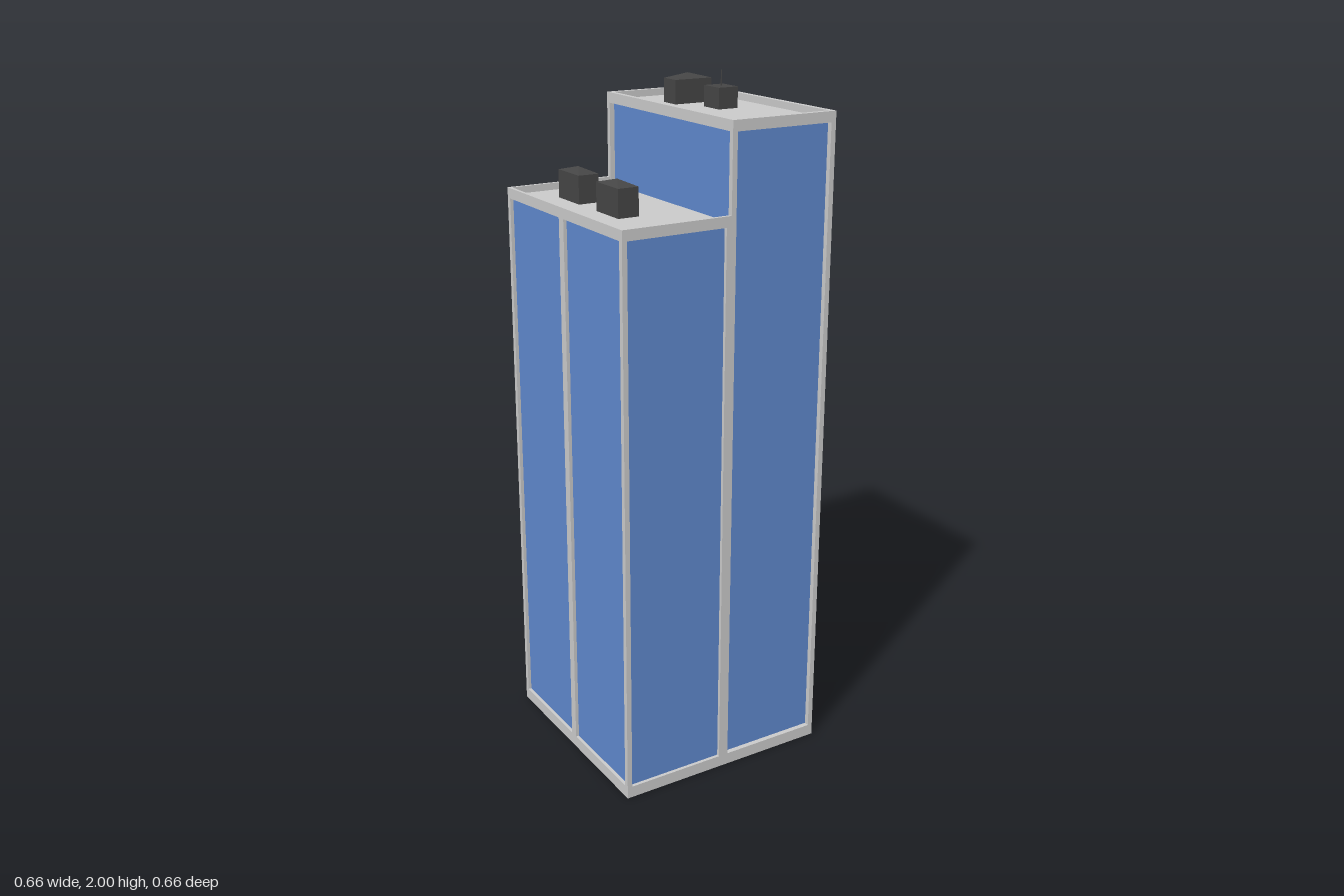
import * as THREE from 'three';

const material = (name, color) => {
  const m = new THREE.MeshStandardMaterial({ color });
  m.name = name;
  return m;
};

export function createModel() {
  const concrete = material('concrete', 0xcacaca);
  const glass = material('blue glass', 0x5f88cd);
  const dark = material('dark metal', 0x454545);
  const model = new THREE.Group();
  model.name = 'steppedTower';
  const HALF = 0.33;

  const add = (parent, name, geometry, mat) => {
    const mesh = new THREE.Mesh(geometry, mat);
    mesh.name = name;
    parent.add(mesh);
    return mesh;
  };

  // Box given by its minimum and maximum corners
  const box = (parent, name, mat, [x0, y0, z0], [x1, y1, z1]) =>
    add(parent, name, new THREE.BoxGeometry(x1 - x0, y1 - y0, z1 - z0)
      .translate((x0 + x1) / 2, (y0 + y1) / 2, (z0 + z1) / 2), mat);

  const rect = (path, x0, y0, x1, y1) =>
    path.moveTo(x0, y0).lineTo(x1, y0).lineTo(x1, y1).lineTo(x0, y1).closePath();

  // Wall frame with openings, its outer face on z = 0
  const frameGeometry = (x0, y0, x1, y1, holes, depth) => {
    const shape = rect(new THREE.Shape(), x0, y0, x1, y1);
    for (const h of holes) shape.holes.push(rect(new THREE.Path(), ...h));
    return new THREE.ExtrudeGeometry(shape, { depth, bevelEnabled: false }).translate(0, 0, -depth);
  };

  // One tower: glass core, frames on the outer walls, sunken roof
  const tower = (name, side, height, t) => {
    const g = new THREE.Group();
    g.name = name;
    model.add(g);
    const roof = height - 0.02, top = height - 0.03, low = 0.035;
    const [x0, x1] = side > 0 ? [0, HALF] : [-HALF, 0];
    const [in0, in1] = side > 0 ? [t, HALF - t] : [t - HALF, 0];
    const inner = HALF - t;

    box(g, 'glassCore', glass, [in0, 0.02, -inner], [in1, roof - 0.005, inner]);
    box(g, 'roof', concrete, [in0, roof - 0.005, -inner], [in1, roof, inner]);

    const opening = [x0 + 0.015, low, x1 - 0.015, top];
    for (const s of [1, -1]) {
      const geo = frameGeometry(x0, 0, x1, height, [opening], t);
      if (s < 0) geo.translate(-(x0 + x1) / 2, 0, 0).rotateY(Math.PI).translate((x0 + x1) / 2, 0, 0);
      geo.translate(0, 0, s * HALF);
      add(g, s > 0 ? 'frontFrame' : 'backFrame', geo, concrete);
    }
    const sideOpenings = [[-0.315, low, -0.013, top], [0.013, low, 0.315, top]];
    add(g, 'sideFrame', frameGeometry(-HALF, 0, HALF, height, sideOpenings, t)
      .rotateY(side * Math.PI / 2).translate(side * HALF, 0, 0), concrete);
    return g;
  };

  const lowTower = tower('lowTower', -1, 1.67, 0.01);
  const highTower = tower('highTower', 1, 1.917, 0.015);

  // Frame on the wall standing above the lower roof
  add(highTower, 'stepFrame', frameGeometry(-HALF, 1.64, HALF, 1.917,
    [[-0.315, 1.645, 0.315, 1.887]], 0.015).rotateY(-Math.PI / 2), concrete);

  box(model, 'base', concrete, [-HALF, 0, -HALF], [HALF, 0.02, HALF]);

  // Rooftop unit with a shallow hipped lid
  const roofUnit = (parent, x, z, w, d, y) => {
    const unit = new THREE.Group();
    unit.name = 'roofUnit';
    unit.position.set(x, y, z);
    parent.add(unit);
    box(unit, 'unitBody', dark, [-w / 2, 0, -d / 2], [w / 2, 0.08, d / 2]);
    const lid = new THREE.ConeGeometry(Math.SQRT1_2, 0.015, 4, 1, true).toNonIndexed();
    lid.rotateY(Math.PI / 4).scale(w, 1, d).translate(0, 0.0875, 0);
    lid.computeVertexNormals();
    add(unit, 'unitLid', lid, dark);
  };
  roofUnit(lowTower, -0.194, -0.152, 0.063, 0.12, 1.65);
  roofUnit(lowTower, -0.194, 0.068, 0.063, 0.12, 1.65);
  roofUnit(highTower, 0.165, -0.151, 0.12, 0.063, 1.885);

  // Flat unit carrying the antenna
  box(highTower, 'antennaBase', dark, [0.153, 1.89, -0.045], [0.216, 1.956, 0.03]);
  add(highTower, 'antenna', new THREE.CylinderGeometry(0.0015, 0.002, 0.05, 6)
    .translate(0.185, 1.975, -0.007), dark);

  return model;
}
